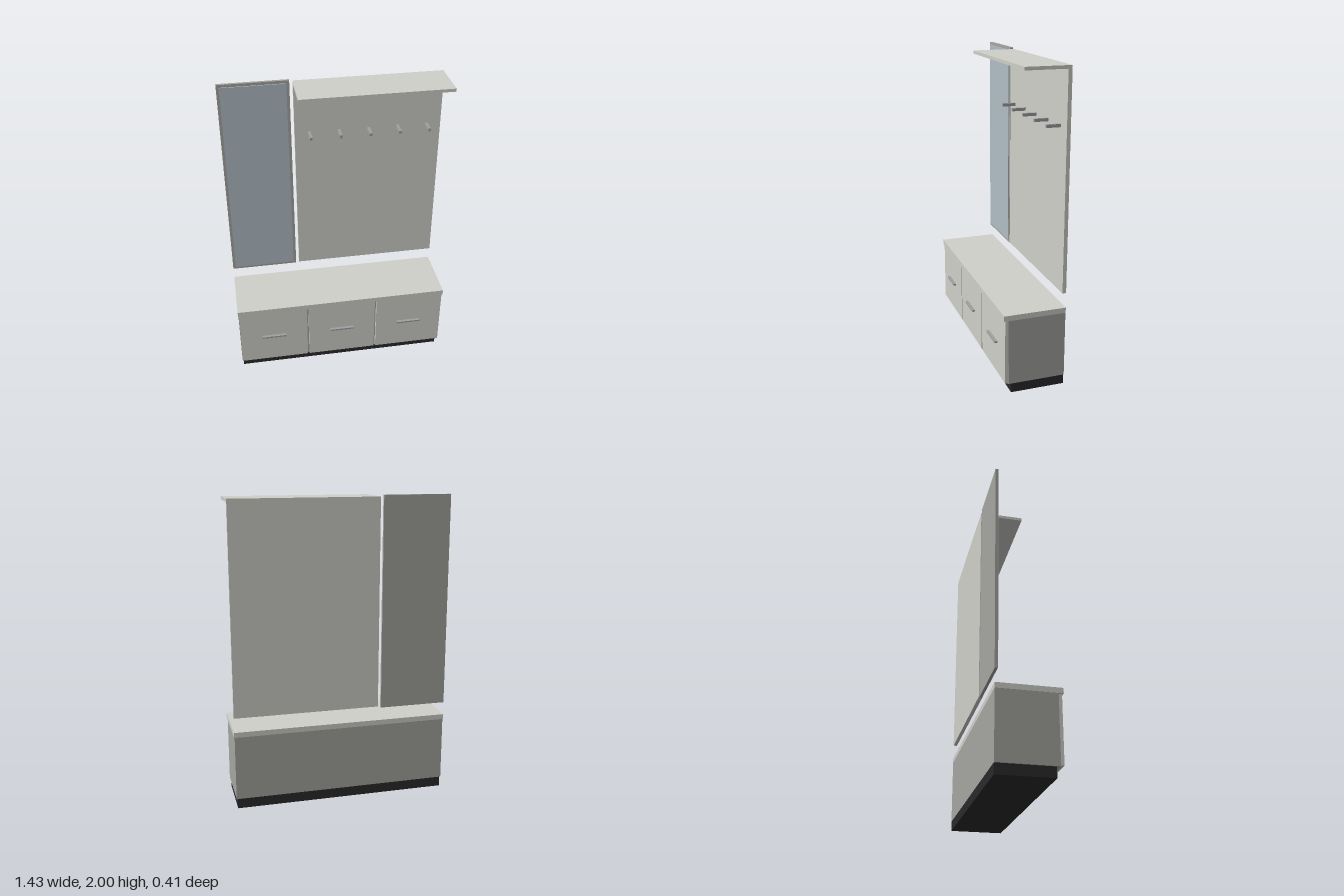
import * as THREE from 'three';

const material = (color) => new THREE.MeshStandardMaterial({ color });

export function createModel() {
  const group = new THREE.Group();
  const light = material(0xd0d0ca);
  const mid = material(0xa5a5a0);
  const metal = material(0xa0a0a2);
  const dark = material(0x2a2a2c);
  const glass = material(0xb0bec6);

  // Box given by its lower and upper limits on each axis
  const box = (name, mat, [x0, x1], [y0, y1], [z0, z1]) => {
    const mesh = new THREE.Mesh(new THREE.BoxGeometry(x1 - x0, y1 - y0, z1 - z0), mat);
    mesh.position.set((x0 + x1) / 2, (y0 + y1) / 2, (z0 + z1) / 2);
    mesh.name = name;
    group.add(mesh);
  };
  const back = -0.204;

  // Bench cabinet
  box('plinth', dark, [-0.702, 0.702], [0, 0.065], [back, 0.144]);
  box('cabinetBody', mid, [-0.71, 0.71], [0.065, 0.49], [back, 0.165]);
  box('benchTop', light, [-0.713, 0.713], [0.49, 0.524], [back, 0.194]);

  // Three drawer fronts, each with a bar handle
  for (let i = -1; i <= 1; i++) {
    const x = i * 0.476;
    box('drawerFront', light, [x - 0.232, x + 0.232], [0.071, 0.487], [0.165, 0.185]);
    box('drawerHandle', metal, [x - 0.082, x + 0.082], [0.275, 0.286], [0.185, 0.204]);
  }

  // Framed mirror
  box('mirrorFrame', mid, [-0.713, -0.267], [0.61, 2], [back, -0.186]);
  box('mirrorGlass', glass, [-0.695, -0.286], [0.628, 1.982], [-0.186, -0.18]);

  // Coat panel with hat shelf
  box('coatPanel', light, [-0.246, 0.711], [0.62, 1.97], [back, -0.18]);
  box('hatShelf', light, [-0.246, 0.711], [1.97, 1.99], [back, 0.081]);

  // Row of coat pegs
  for (let i = 0; i < 5; i++) {
    const x = -0.152 + i * 0.192;
    box('coatPeg', metal, [x - 0.009, x + 0.009], [1.626, 1.645], [-0.18, -0.09]);
  }

  return group;
}
